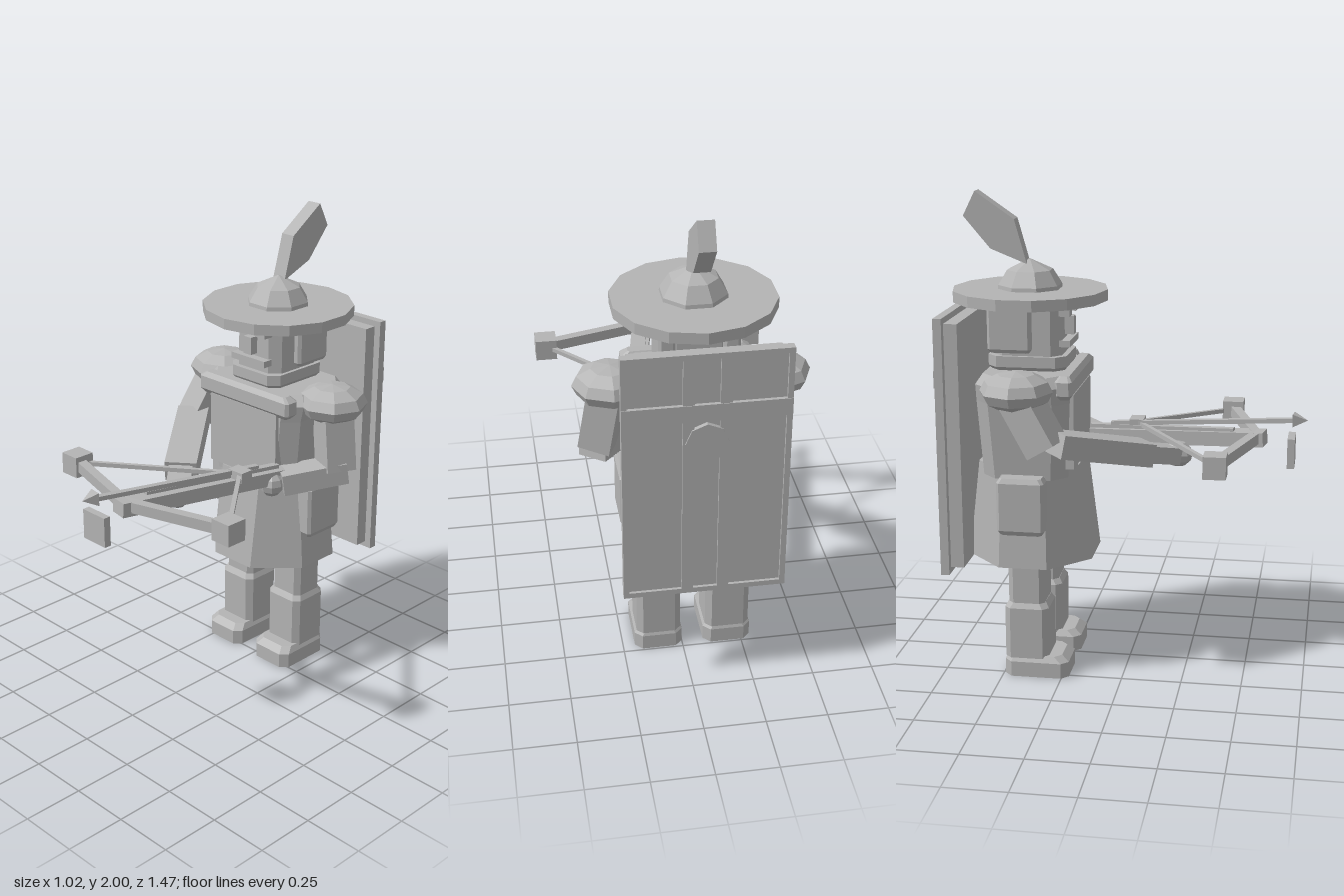
import * as THREE from 'three';

const grey = new THREE.MeshStandardMaterial({ color: 0xb4b4b4 });
grey.name = 'stone grey';

// Body axis
const CX = -0.045, CZ = -0.4;

const facet = (g) => {
  const f = g.index ? g.toNonIndexed() : g;
  f.computeVertexNormals();
  return f;
};

// Chamfered block lofted from octagonal rings [y, halfX, halfZ, chamfer, zShift]
function loft(rings) {
  const rows = rings.map(([y, a, b, c, s = 0]) => [
    [a, c - b], [a, b - c], [a - c, b], [c - a, b], [-a, b - c], [-a, c - b], [c - a, -b], [a - c, -b],
  ].map(([x, z]) => [x, y, z + s]));
  const pos = [];
  const tri = (...p) => p.forEach((v) => pos.push(...v));
  const mid = (k) => [0, rings[k][0], rings[k][4] || 0];
  const last = rows.length - 1;
  for (let i = 0; i < 8; i++) {
    const j = (i + 1) % 8;
    for (let k = 0; k < last; k++) {
      tri(rows[k][i], rows[k + 1][i], rows[k + 1][j]);
      tri(rows[k][i], rows[k + 1][j], rows[k][j]);
    }
    tri(mid(0), rows[0][i], rows[0][j]);
    tri(mid(last), rows[last][j], rows[last][i]);
  }
  const g = new THREE.BufferGeometry();
  g.setAttribute('position', new THREE.Float32BufferAttribute(pos, 3));
  return facet(g);
}

export function createModel() {
  const model = new THREE.Group();
  model.name = 'crossbowman';

  const add = (name, geo, x = 0, y = 0, z = 0) => {
    const m = new THREE.Mesh(geo, grey);
    m.name = name;
    m.position.set(x, y, z);
    model.add(m);
    return m;
  };
  // Box given by its min and max corners
  const box = (name, x0, x1, y0, y1, z0, z1) =>
    add(name, new THREE.BoxGeometry(x1 - x0, y1 - y0, z1 - z0), (x0 + x1) / 2, (y0 + y1) / 2, (z0 + z1) / 2);
  // Square beam between two points
  const beam = (name, a, b, w, h) => {
    const A = new THREE.Vector3(...a), B = new THREE.Vector3(...b);
    const m = add(name, new THREE.BoxGeometry(w, h, A.distanceTo(B)));
    m.position.copy(A).lerp(B, 0.5);
    m.lookAt(B);
    return m;
  };
  const ball = (name, p, rx, ry, rz) => {
    const g = new THREE.SphereGeometry(1, 8, 6);
    g.scale(rx, ry, rz);
    return add(name, facet(g), ...p);
  };

  // Legs, hip pouches and cheek guards
  for (const s of [-1, 1]) {
    const x = CX + s * 0.145;
    add('boot', loft([[0, 0.1, 0.135, 0.03], [0.065, 0.1, 0.135, 0.03], [0.09, 0.085, 0.115, 0.03, -0.01]]), x, 0, -0.357);
    add('shin', loft([[0.08, 0.092, 0.093, 0.025], [0.3, 0.092, 0.093, 0.025], [0.325, 0.078, 0.078, 0.025]]), x, 0, -0.397);
    add('thigh', loft([[0.31, 0.08, 0.077, 0.022], [0.52, 0.08, 0.077, 0.022]]), x, 0, -0.397);
    add('pouch', loft([[0.64, 0.035, 0.085, 0.012], [0.66, 0.045, 0.098, 0.012], [0.86, 0.045, 0.098, 0.012], [0.88, 0.035, 0.085, 0.012]]), CX + s * 0.255, 0, -0.4);
    add('cheekGuard', loft([[1.365, 0.025, 0.08, 0.012], [1.38, 0.033, 0.09, 0.012], [1.56, 0.033, 0.09, 0.012]]), CX + s * 0.123, 0, -0.465);
    box('brow', CX + s * 0.07 - 0.026, CX + s * 0.07 + 0.026, 1.51, 1.54, -0.27, -0.225);
  }

  // Tunic skirt and torso
  add('skirt', loft([[0.49, 0.268, 0.26, 0.16], [0.9, 0.23, 0.21, 0.12]]), CX, 0, CZ);
  add('torso', loft([[0.86, 0.23, 0.175, 0.06], [1.18, 0.265, 0.19, 0.06], [1.25, 0.28, 0.19, 0.06], [1.29, 0.25, 0.165, 0.06]]), CX, 0, CZ);
  box('breastplate', -0.235, 0.15, 0.9, 1.21, -0.23, -0.195);
  add('collarRoll', loft([[1.2, 0.24, 0.02, 0.008], [1.22, 0.26, 0.035, 0.012], [1.275, 0.26, 0.035, 0.012], [1.295, 0.23, 0.02, 0.008]]), CX, 0, -0.225);

  // Head and face
  add('neckGuard', loft([[1.28, 0.12, 0.145, 0.04], [1.305, 0.14, 0.162, 0.04], [1.35, 0.14, 0.162, 0.04]]), CX, 0, CZ);
  add('head', loft([[1.34, 0.125, 0.14, 0.04], [1.58, 0.125, 0.14, 0.04]]), CX, 0, -0.4);
  box('nose', -0.068, -0.025, 1.425, 1.5, -0.27, -0.222);
  box('mouth', -0.14, 0.05, 1.385, 1.412, -0.27, -0.225);

  // Brimmed helmet and feather
  add('hatBrim', facet(new THREE.CylinderGeometry(0.32, 0.32, 0.045, 14)), CX, 1.587, -0.405);
  const crown = [[0.135, 1.6], [0.132, 1.625], [0.095, 1.685], [0, 1.73]].map(([r, y]) => new THREE.Vector2(r, y));
  add('hatCrown', facet(new THREE.LatheGeometry(crown, 8, Math.PI / 8)), CX, 0, -0.405);
  const plume = new THREE.Shape([[0.41, 1.71], [0.56, 1.77], [0.67, 1.9], [0.62, 2], [0.46, 1.89]].map(([u, y]) => new THREE.Vector2(u, y)));
  const feather = add('feather', new THREE.ExtrudeGeometry(plume, { depth: 0.065, bevelEnabled: false }), -0.08, 0, 0);
  feather.rotation.y = Math.PI / 2;
  feather.position.x = -0.08;

  // Arms, each reaching to the crossbow
  ball('rightShoulderPad', [-0.36, 1.25, -0.4], 0.15, 0.08, 0.148);
  ball('leftShoulderPad', [0.275, 1.25, -0.4], 0.15, 0.08, 0.148);
  beam('rightUpperArm', [-0.37, 1.25, -0.4], [-0.4, 1.03, -0.27], 0.14, 0.13);
  beam('rightForearm', [-0.39, 1.05, -0.24], [-0.13, 0.955, 0.085], 0.136, 0.095);
  beam('rightWrist', [-0.13, 0.955, 0.085], [-0.035, 0.925, 0.19], 0.1, 0.07);
  ball('rightHand', [-0.02, 0.925, 0.205], 0.055, 0.055, 0.06);
  beam('leftUpperArm', [0.28, 1.25, -0.4], [0.325, 0.97, -0.38], 0.13, 0.13);
  beam('leftForearm', [0.35, 0.97, -0.41], [0.19, 0.93, -0.19], 0.12, 0.09);
  ball('leftHand', [0.165, 0.92, -0.16], 0.055, 0.055, 0.055);

  // Crossbow
  beam('stock', [0.17, 0.945, -0.26], [0.018, 0.995, 0.56], 0.08, 0.06);
  beam('boltGroove', [0.155, 0.985, -0.2], [0.03, 1.02, 0.43], 0.03, 0.02);
  box('nut', 0.105, 0.185, 0.985, 1.03, -0.02, 0.04);
  for (const x of [-0.43, 0.465]) {
    beam('bowLimb', [0.018, 1, 0.525], [x, 1, 0.395], 0.04, 0.045);
    box('limbBlock', x - 0.045, x + 0.045, 0.955, 1.045, 0.35, 0.44);
    beam('bowstring', [0.145, 1.01, 0.01], [x, 1, 0.395], 0.018, 0.018);
  }
  box('stirrupPlate', -0.045, 0.08, 0.885, 1.01, 0.655, 0.685);
  beam('boltShaft', [0.135, 1.005, -0.1], [0.022, 1.075, 0.68], 0.026, 0.018);
  const tip = add('boltTip', facet(new THREE.ConeGeometry(0.038, 0.06, 4, 1).rotateY(Math.PI / 4).rotateX(Math.PI / 2)), 0.017, 1.078, 0.705);
  tip.rotation.y = -0.14;

  // Large shield carried on the back
  box('shieldInner', -0.335, 0.245, 0.49, 1.505, -0.7, -0.64);
  box('shieldBoard', -0.345, 0.255, 0.48, 1.51, -0.718, -0.695);
  const X0 = -0.365, X1 = 0.275, Y0 = 0.465, Y1 = 1.53;
  const rim = (name, x0, x1, y0, y1) => box(name, x0, x1, y0, y1, -0.73, -0.695);
  rim('shieldRimSide', X0, X0 + 0.022, Y0, Y1);
  rim('shieldRimSide', X1 - 0.022, X1, Y0, Y1);
  rim('shieldRimEnd', X0, X1, Y0, Y0 + 0.022);
  rim('shieldRimEnd', X0, X1, Y1 - 0.022, Y1);
  for (const s of [-1, 1]) {
    const x = CX + s * 0.07;
    rim('shieldRib', x - 0.022, x + 0.022, Y0, Y1);
  }
  box('shieldBand', X0, X1, 1.25, 1.32, -0.733, -0.7);
  const boss = add('shieldBoss', facet(new THREE.CylinderGeometry(0.083, 0.083, 0.035, 8)), CX, 1.155, -0.7185);
  boss.rotation.x = Math.PI / 2;

  return model;
}
